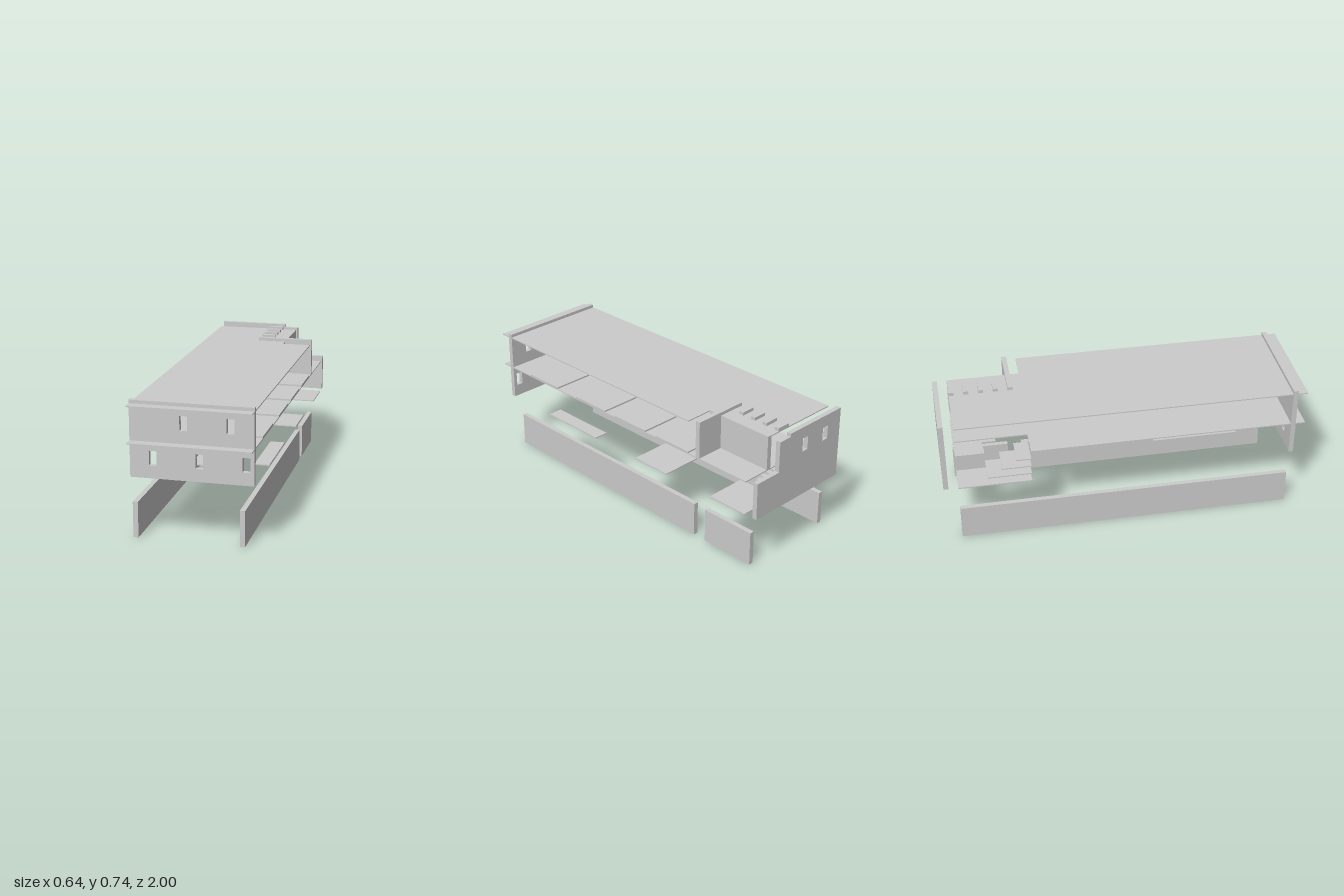
import * as THREE from 'three';

export function createModel() {
  const model = new THREE.Group();
  const material = new THREE.MeshStandardMaterial({ color: 0xcccccc, flatShading: true });
  const T = 0.027; // wall thickness
  const S = 0.006; // slab thickness
  const GROUND = 0.336, FLOOR = 0.528, ROOF = 0.72, TOP = 0.738;

  const add = (name, geometry) => {
    const mesh = new THREE.Mesh(geometry, material);
    mesh.name = name;
    model.add(mesh);
    return mesh;
  };

  // Box given by its limits on each axis
  const box = (name, [x0, x1], [y0, y1], [z0, z1]) =>
    add(name, new THREE.BoxGeometry(x1 - x0, y1 - y0, z1 - z0))
      .position.set((x0 + x1) / 2, (y0 + y1) / 2, (z0 + z1) / 2);

  const outline = (points) => new THREE.Shape(points.map(([a, b]) => new THREE.Vector2(a, b)));

  // Upright wall in the xy plane with windows 0.04 wide, placed by centre x and sill height
  const wall = (name, points, windows, z) => {
    const shape = outline(points);
    for (const [x, sill] of windows) {
      shape.holes.push(outline([
        [x - 0.02, sill], [x - 0.02, sill + 0.076], [x + 0.02, sill + 0.076], [x + 0.02, sill],
      ]));
    }
    add(name, new THREE.ExtrudeGeometry(shape, { depth: T, bevelEnabled: false })).position.z = z;
  };

  // Flat slab from an outline in x and z
  const slab = (name, points, top) => {
    const shape = outline(points.map(([x, z]) => [x, -z]));
    const geometry = new THREE.ExtrudeGeometry(shape, { depth: S, bevelEnabled: false });
    geometry.rotateX(-Math.PI / 2);
    add(name, geometry).position.y = top - S;
  };

  // Ground walls, the left one broken by an entrance
  box('rightBaseWall', [-0.32, -0.32 + T], [0, 0.193], [-0.92, 0.92]);
  box('leftBaseWallLong', [0.24, 0.24 + T], [0, 0.193], [-0.52, 0.92]);
  box('leftBaseWallShort', [0.24, 0.24 + T], [0, 0.193], [-0.92, -0.6]);

  // End walls
  wall('frontWall', [[-0.32, GROUND], [0.32, GROUND], [0.32, TOP], [-0.32, TOP]],
    [[-0.04, 0.596], [0.2, 0.596], [-0.2, 0.404], [0.04, 0.404], [0.28, 0.404]], 0.92);
  wall('backWall', [
    [-0.32, GROUND], [0.32, GROUND], [0.32, 0.546], [0.16, 0.546],
    [0.16, ROOF], [0.08, ROOF], [0.08, TOP], [-0.32, TOP],
  ], [[-0.04, 0.596], [-0.2, 0.596]], -1);

  // Upper floor with a stair opening, and roof with a corner cut out
  slab('upperFloor', [
    [-0.32, 1], [0.32, 1], [0.32, -0.92], [-0.16, -0.92], [-0.16, -0.52], [-0.32, -0.52],
  ], FLOOR);
  slab('roof', [
    [-0.32, 1], [0.32, 1], [0.32, -0.52], [0.16, -0.52], [0.16, -0.92], [-0.32, -0.92],
  ], ROOF);

  // Terrace walls
  box('terraceSideWall', [0.16 - T, 0.16], [FLOOR, ROOF - S], [-0.92, -0.52]);
  box('terraceCrossWall', [0, 0.32], [FLOOR, TOP], [-0.6, -0.573]);

  // Bars on the roof
  for (let i = 0; i < 4; i++) {
    const z = -0.68 - i * 0.08;
    box('roofBar', [0, 0.08], [ROOF, TOP], [z, z + T]);
  }

  // Raised panels on the upper floor
  for (const z of [0.52, 0.12, -0.2, -0.52]) {
    box('floorPanel', [0.08, 0.32], [FLOOR, FLOOR + 0.009], [z, z + 0.24]);
  }

  // Platforms on the lower level
  const level = [GROUND - S, GROUND];
  box('sidePlatform', [0.24, 0.32], level, [0.2, 0.6]);
  box('centrePlatform', [-0.08, 0.08], level, [0.2, 0.68]);
  box('middlePlatform', [0.08, 0.32], level, [-0.36, -0.12]);
  box('backPlatform', [0.08, 0.32], level, [-0.92, -0.68]);

  // Stacked landings that shorten as they rise
  [-0.92, -0.76, -0.68, -0.6].forEach((z, i) => {
    const y = GROUND + i * 0.048;
    box('landing', [-0.32, -0.16], [y - S, y], [z, -0.52]);
  });

  // Flight of steps between the back platform and the landings
  for (let i = 0; i < 8; i++) {
    const x = 0.05 - i * 0.03, y = GROUND + i * 0.012;
    box('step', [x, x + 0.03], [y, y + 0.012], [-0.92, -0.76]);
  }

  return model;
}
